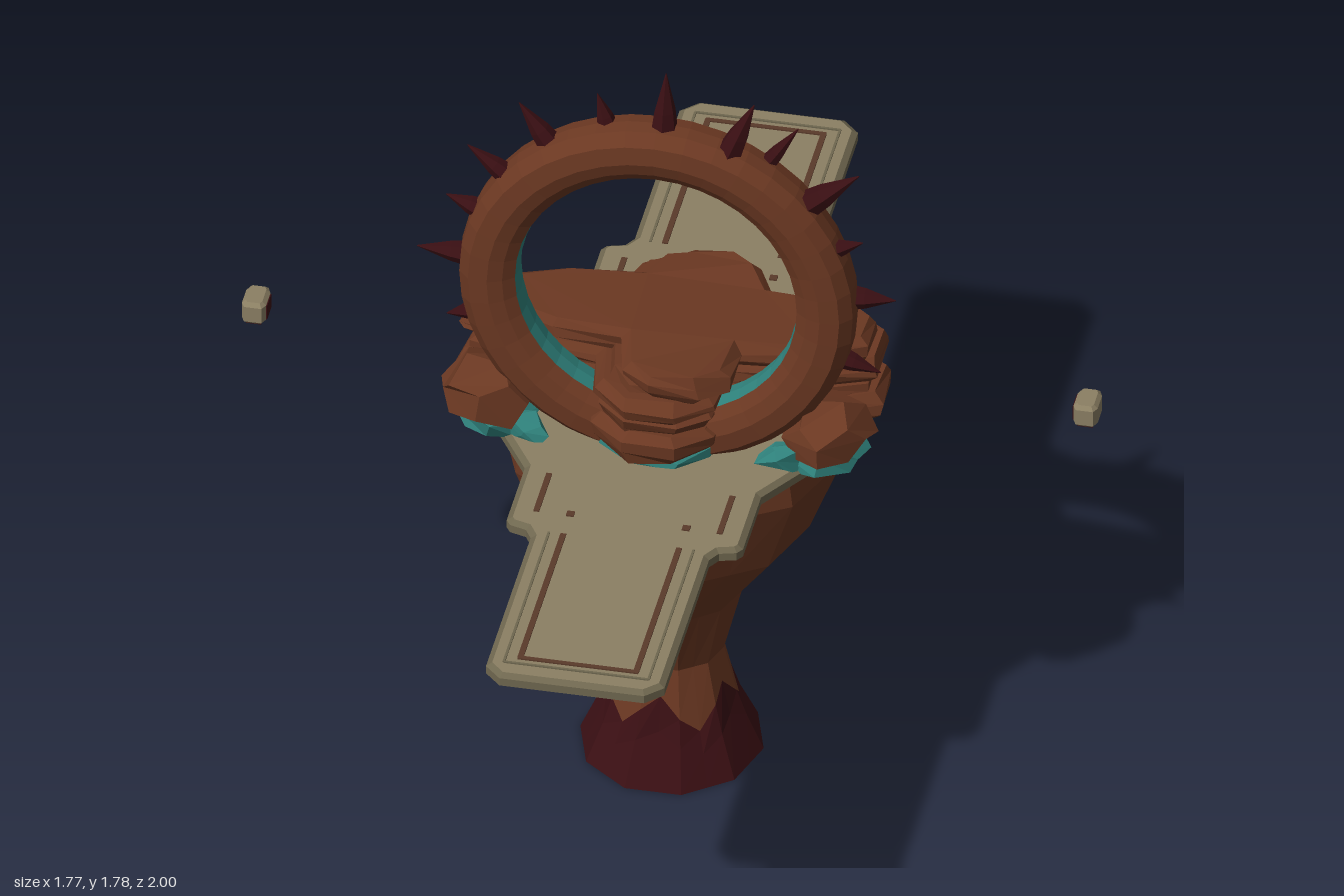
import * as THREE from 'three';

const mat = (name, color, extra = {}) => {
  const m = new THREE.MeshStandardMaterial({ color, flatShading: true, ...extra });
  m.name = name;
  return m;
};

export function createModel() {
  const root = new THREE.Group();
  root.name = 'spikedRingShrine';
  const rock = mat('redBrownRock', 0x6b3822);
  const maroon = mat('darkMaroon', 0x3a0f13);
  const stone = mat('paleStone', 0x8c8064);
  const rim = mat('stoneRim', 0x6f674f);
  const groove = mat('grooveBrown', 0x5a3a2a);
  const teal = mat('tealMineral', 0x2f827c);

  const add = (name, geo, material, parent = root, x = 0, y = 0, z = 0) => {
    const m = new THREE.Mesh(geo, material);
    m.name = name;
    m.position.set(x, y, z);
    parent.add(m);
    return m;
  };
  const V = (x, y, z) => new THREE.Vector3(x, y, z);

  // Skin a list of cross-sections, with fan caps at both ends
  const loft = (rings) => {
    const pos = [];
    const tri = (...p) => p.forEach((v) => pos.push(v.x, v.y, v.z));
    const n = rings[0].length;
    const mid = (r) => r.reduce((s, v) => s.add(v), V(0, 0, 0)).divideScalar(n);
    const first = rings[0], last = rings[rings.length - 1];
    const c0 = mid(first), c1 = mid(last);
    for (let j = 0; j < n; j++) {
      const k = (j + 1) % n;
      for (let i = 0; i < rings.length - 1; i++) {
        const a = rings[i], b = rings[i + 1];
        tri(a[j], a[k], b[k]);
        tri(a[j], b[k], b[j]);
      }
      tri(c0, first[k], first[j]);
      tri(c1, last[j], last[k]);
    }
    const g = new THREE.BufferGeometry();
    g.setAttribute('position', new THREE.Float32BufferAttribute(pos, 3));
    g.computeVertexNormals();
    return g;
  };

  // Shift vertices by a hash of their position, so shared corners stay joined
  const roughen = (geo, amount, seed) => {
    const g = geo.index ? geo.toNonIndexed() : geo;
    const p = g.attributes.position;
    const h = (x, y, z, k) => {
      const s = Math.sin(Math.round(x * 500) * 12.99 + Math.round(y * 500) * 78.23 + Math.round(z * 500) * 37.72 + k * 4.1 + seed) * 43758.5;
      return (s - Math.floor(s) - 0.5) * 2 * amount;
    };
    for (let i = 0; i < p.count; i++) {
      const x = p.getX(i), y = p.getY(i), z = p.getZ(i);
      p.setXYZ(i, x + h(x, y, z, 1), y + h(x, y, z, 2), z + h(x, y, z, 3));
    }
    g.computeVertexNormals();
    return g;
  };

  // Pedestal: ten-sided goblet whose foot is maroon up to a wavy line
  const profile = [[0.005, 0.19, 0.2], [0.12, 0.14, 0.135], [0.25, 0.108, 0.105], [0.41, 0.148, 0.16],
    [0.58, 0.285, 0.255], [0.76, 0.355, 0.305], [0.84, 0.345, 0.31]];
  const at = (y, j) => {
    let i = 0;
    while (i < profile.length - 2 && profile[i + 1][0] < y) i++;
    const [a, b] = [profile[i], profile[i + 1]];
    const t = (y - a[0]) / (b[0] - a[0]);
    const f = j % 2 ? Math.cos(Math.PI / 10) : 1;
    const ang = ((j + 1) / 20) * Math.PI * 2;
    return V(Math.sin(ang) * f * THREE.MathUtils.lerp(a[1], b[1], t), y, Math.cos(ang) * f * THREE.MathUtils.lerp(a[2], b[2], t));
  };
  const ringAt = (fn) => Array.from({ length: 20 }, (_, j) => at(fn(j), j));
  const wave = (j) => 0.15 + 0.04 * Math.sin(j * 1.57 + 3.3);
  add('foot', loft([ringAt(() => 0.005), ringAt((j) => wave(j) * 0.6), ringAt(wave)]), maroon);
  add('pedestal', loft([ringAt(wave), ...profile.slice(2).map((p) => ringAt(() => p[0]))]), rock);

  // Keel-shaped brackets under both ends of the deck: z, keel y, keel and top half-widths
  const section = ([z, y, k, w, top = 0.836]) => [V(-w, top, z), V(-(w * 0.6 + k * 0.4), (top + y) / 2, z),
    V(-k, y, z), V(k, y, z), V(w * 0.6 + k * 0.4, (top + y) / 2, z), V(w, top, z)];
  for (const side of ['front', 'back']) {
    const g = new THREE.Group();
    g.name = side + 'Bracket';
    if (side === 'back') g.rotation.y = Math.PI;
    root.add(g);
    add('bracketKeel', loft([[0.05, 0.44, 0.03, 0.2], [0.2, 0.44, 0.03, 0.2], [0.53, 0.61, 0.06, 0.15],
      [0.76, 0.77, 0.08, 0.12], [0.84, 0.825, 0.08, 0.11]].map(section)), rock, g);
    add('keelTip', loft([[0.12, 0.43, 0.012, 0.045, 0.49], [0.2, 0.43, 0.014, 0.055, 0.5],
      [0.285, 0.474, 0.03, 0.042, 0.49]].map(section)), maroon, g);
  }

  // Deck: stepped plank with a bevelled edge
  const half = [[0.15, 1], [0.185, 0.965], [0.185, 0.52], [0.2, 0.495], [0.235, 0.485], [0.245, 0.47], [0.245, 0.29], [0.34, 0.14]];
  const right = [...half, ...half.map(([x, z]) => [x, -z]).reverse()];
  const outline = [...right, ...right.map(([x, z]) => [-x, z]).reverse()];
  const slab = (pts, depth, bevel, inset = bevel) => {
    const shape = new THREE.Shape(pts.map(([x, z]) => new THREE.Vector2(x, z)));
    const g = new THREE.ExtrudeGeometry(shape, { depth: depth - 2 * bevel, bevelEnabled: bevel > 0,
      bevelThickness: bevel, bevelSize: inset, bevelOffset: -inset, bevelSegments: 1 });
    return g.rotateX(Math.PI / 2).translate(0, -bevel, 0);
  };
  add('deck', slab(outline, 0.034, 0.008, 0.012), [stone, rim], root, 0, 0.866, 0);

  // Grooves and studs let into the deck
  const strip = (w, d, x, z, m = groove) => add('deckGroove', new THREE.BoxGeometry(w, 0.004, d), m, root, x, 0.867, z);
  for (const s of [1, -1]) {
    strip(0.25, 0.01, 0, s * 0.935);
    strip(0.3, 0.005, 0, s * 0.955, rim);
    for (const x of [-1, 1]) {
      strip(0.012, 0.43, x * 0.12, s * 0.72);
      strip(0.005, 0.45, x * 0.15, s * 0.73, rim);
      strip(0.012, 0.13, x * 0.19, s * 0.375);
      strip(0.016, 0.016, x * 0.12, s * 0.435);
    }
  }

  // Stacked rock strata in a rounded cross plan, with teal showing below
  const cross = [[-0.42, -0.1], [-0.3, -0.15], [-0.14, -0.17], [-0.11, -0.24], [-0.05, -0.275], [0.05, -0.275],
    [0.11, -0.23], [0.15, -0.165], [0.38, -0.15], [0.44, -0.1], [0.44, 0.02], [0.32, 0.075], [0.14, 0.09],
    [0.13, 0.2], [0.06, 0.26], [-0.05, 0.265], [-0.12, 0.2], [-0.14, 0.09], [-0.3, 0.075], [-0.44, 0.03]];
  const strata = [
    ['tealSeam', 0.9, 0.055, 0.93, 0.92, 0, teal], ['lowerStratum', 0.945, 0.065, 1, 0.99, 0, rock],
    ['strataCore', 1.05, 0.17, 0.86, 0.86, 0, rock], ['middleStratum', 0.987, 0.045, 0.93, 0.94, 0, rock],
    ['upperStratum', 1.027, 0.045, 0.98, 0.99, 0, rock], ['capStratum', 1.086, 0.056, 0.88, 0.86, 0.05, rock]];
  strata.forEach(([name, top, h, sx, sz, dx, m], i) => {
    const pts = cross.map(([x, z]) => [x * sx + dx * (1 - Math.abs(x)), z * sz + (name === 'capStratum' ? 0.015 : 0)]);
    add(name, roughen(slab(pts, h, h * 0.3, 0.016), 0.007, i * 3.7), m, root, 0, top, 0);
  });

  // Boulders on either side of the ring, with teal undersides
  for (const s of [1, -1]) {
    const boulder = (name, r, sx, sy, sz, m, x, y, z) =>
      add(name, roughen(new THREE.DodecahedronGeometry(r).scale(sx, sy, sz), 0.012, s * 5 + y), m, root, s * x, y, z);
    boulder('boulder', 0.1, 1, 0.72, 0.98, rock, 0.355, 0.935, 0.14);
    boulder('boulderUnderside', 0.1, 0.9, 0.42, 0.85, teal, 0.345, 0.883, 0.13);
    boulder('tealLump', 0.05, 1, 0.65, 0.8, teal, 0.27, 0.885, 0.18);
  }

  // Upright ring with chamfered section and a teal inner lining
  const ring = new THREE.Group();
  ring.name = 'ring';
  ring.position.set(0, 1.24, 0.13);
  root.add(ring);
  const lathe = (pts) => new THREE.LatheGeometry(pts.map(([r, z]) => new THREE.Vector2(r, z)), 40).rotateX(Math.PI / 2);
  add('ringBody', lathe([[0.292, -0.032], [0.315, -0.05], [0.345, -0.06], [0.385, -0.055], [0.408, -0.03], [0.412, 0],
    [0.408, 0.03], [0.385, 0.055], [0.345, 0.06], [0.315, 0.05], [0.292, 0.032]]), rock, ring);
  add('ringLining', lathe([[0.292, 0.032], [0.288, 0], [0.292, -0.032]]), teal, ring);

  // Spikes around the ring: tip x, tip y, base radius, z offset
  const spikes = [[0.015, 1.78, 0.03, 0], [0.2, 1.735, 0.03, 0.01], [0.285, 1.665, 0.02, -0.02], [0.415, 1.58, 0.032, 0],
    [0.425, 1.42, 0.022, 0.01], [0.488, 1.265, 0.028, -0.015], [0.46, 1.09, 0.025, 0], [-0.13, 1.7, 0.023, -0.01],
    [-0.29, 1.66, 0.028, 0], [-0.395, 1.545, 0.025, 0.01], [-0.44, 1.41, 0.025, 0.005], [-0.505, 1.255, 0.028, -0.015],
    [-0.44, 1.105, 0.024, 0]];
  for (const [x, y, r, z] of spikes) {
    const dir = V(x, y - 1.24, 0);
    const len = dir.length() - 0.385;
    dir.normalize();
    const geo = new THREE.LatheGeometry([[0.001, 0], [r, 0], [r * 0.75, len * 0.4], [0.001, len]]
      .map((p) => new THREE.Vector2(...p)), 6);
    const m = add('spike', geo, maroon, ring, dir.x * 0.385, dir.y * 0.385, z);
    m.quaternion.setFromUnitVectors(V(0, 1, 0), dir);
  }

  // Small floating stones with maroon inner faces
  for (const s of [1, -1]) {
    const pts = [[-0.018, -0.038], [0.018, -0.038], [0.025, -0.022], [0.025, 0.022], [0.018, 0.036], [-0.018, 0.036], [-0.025, 0.022], [-0.025, -0.022]];
    add('floatingStone', slab(pts, 0.052, 0.008), stone, root, s * 0.862, 0.993, 0);
    add('floatingStoneFace', new THREE.BoxGeometry(0.004, 0.034, 0.042), maroon, root, s * 0.837, 0.966, 0);
    add('floatingStoneBase', new THREE.BoxGeometry(0.032, 0.004, 0.054), maroon, root, s * 0.862, 0.941, 0);
  }
  return root;
}
